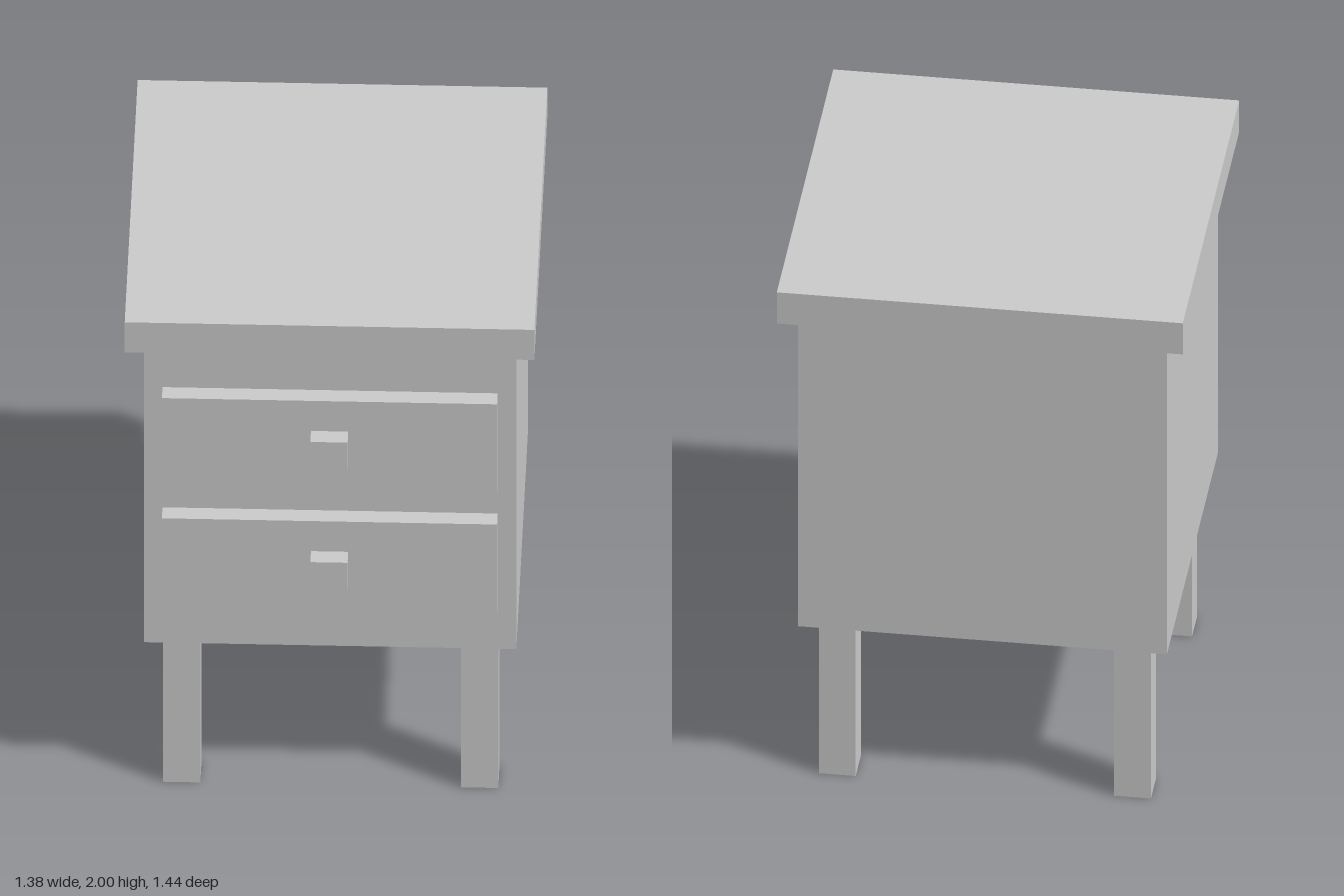
import * as THREE from 'three';

const U = 0.0625;        // base module of all dimensions
const Z0 = -U / 2;       // cabinet centre, offset back to balance the knobs

export function createModel() {
  const group = new THREE.Group();
  const material = new THREE.MeshStandardMaterial({ color: 0xcccccc, flatShading: true });

  // Box sized and placed in modules; y is the bottom, z is relative to the cabinet centre
  function box(name, w, h, d, x, y, z) {
    const mesh = new THREE.Mesh(new THREE.BoxGeometry(w * U, h * U, d * U), material);
    mesh.name = name;
    mesh.position.set(x * U, (y + h / 2) * U, Z0 + z * U);
    group.add(mesh);
  }

  // Cabinet and overhanging top
  box('cabinet', 20, 20, 20, 0, 10, 0);
  box('tableTop', 22, 2, 22, 0, 30, 0);

  // Two drawers, each with a square knob
  [['lower', 13], ['upper', 21]].forEach(([level, y]) => {
    box(level + 'DrawerFront', 18, 6, 1, 0, y, 10.5);
    box(level + 'DrawerKnob', 2, 2, 1, 0, y + 2, 11.5);
  });

  // Four square legs
  for (const [side, x] of [['Left', 8], ['Right', -8]]) {
    box('front' + side + 'Leg', 2, 10, 2, x, 0, 8);
    box('back' + side + 'Leg', 2, 10, 2, x, 0, -8);
  }

  return group;
}
